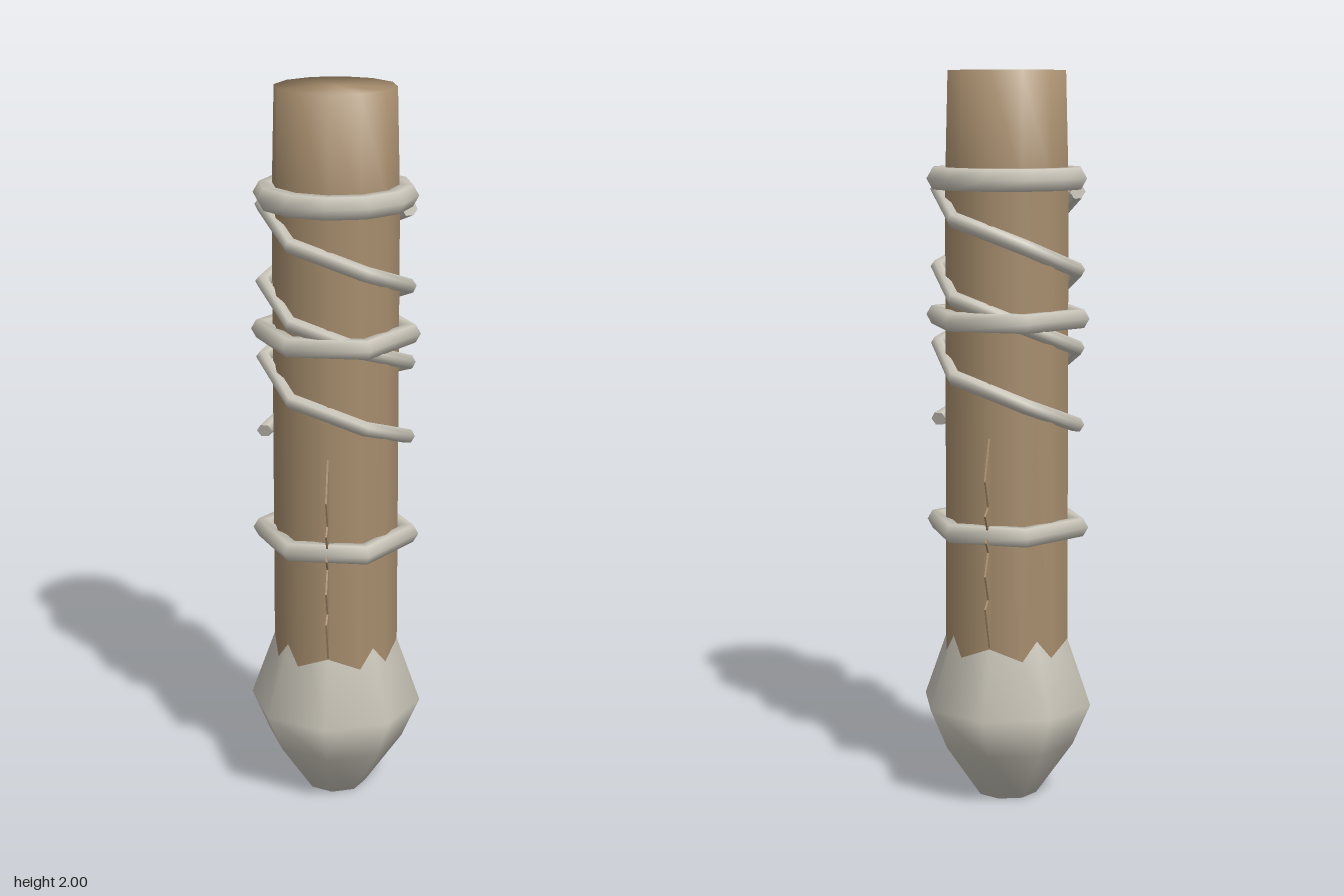
import * as THREE from 'three';

const wood = new THREE.MeshStandardMaterial({ color: 0xa68d6d });
wood.name = 'wood brown';
const bone = new THREE.MeshStandardMaterial({ color: 0xc8c4b8 });
bone.name = 'pale bone';

// Helical path: clockwise descent seen from above, three half turns
class Helix extends THREE.Curve {
  constructor(radius, bottom, pitch, turns, phase) {
    super();
    Object.assign(this, { radius, bottom, pitch, turns, phase });
  }
  getPoint(t, target = new THREE.Vector3()) {
    const a = this.phase + t * this.turns * Math.PI * 2;
    return target.set(
      this.radius * Math.cos(a),
      this.bottom + t * this.turns * this.pitch,
      this.radius * Math.sin(a)
    );
  }
}

function lathe(points, sides) {
  return new THREE.LatheGeometry(points.map(([r, y]) => new THREE.Vector2(r, y)), sides);
}

export function createModel() {
  const model = new THREE.Group();
  const add = (name, geometry, material) => {
    const mesh = new THREE.Mesh(geometry, material);
    mesh.name = name;
    model.add(mesh);
    return mesh;
  };

  // Twelve-sided shaft with a softly shaded flat top
  add('shaft', lathe([[0.174, 0.3], [0.171, 1.7], [0.163, 2], [0, 2]], 12), wood);

  // Eight-sided bulb at the foot; its upper part runs into the shaft
  add('bulb', lathe([[0, 0], [0.085, 0], [0.19, 0.15], [0.24, 0.265], [0.14, 0.545]], 8), bone);

  // Bands around the shaft: a round one at the top and two hexagonal ones
  const bands = [
    ['upperBand', 1.715, 0.188, 0.034, 12],
    ['middleBand', 1.34, 0.202, 0.029, 6],
    ['lowerBand', 0.767, 0.202, 0.029, 6],
  ];
  for (const [name, y, radius, tube, sides] of bands) {
    const ring = add(name, new THREE.TorusGeometry(radius, tube, 6, sides).rotateX(Math.PI / 2), bone);
    ring.position.y = y;
  }

  // Two cords wound in opposite phase, six straight runs per turn, with end caps
  for (const [name, phase] of [['cordA', 0], ['cordB', Math.PI]]) {
    const path = new Helix(0.197, 1.05, 0.42, 1.5, phase);
    add(name, new THREE.TubeGeometry(path, 9, 0.021, 6, false), bone);
    for (const t of [0, 1]) {
      const cap = add(name + 'End', new THREE.CircleGeometry(0.021, 6), bone);
      const out = path.getTangent(t).multiplyScalar(t ? 1 : -1);
      cap.position.copy(path.getPoint(t));
      cap.quaternion.setFromUnitVectors(new THREE.Vector3(0, 0, 1), out);
    }
  }

  // Thin serrated fins on the front and back
  const outline = [
    [0.14, 1.03], [0.172, 1.03], [0.215, 0.92], [0.185, 0.845], [0.215, 0.825],
    [0.19, 0.78], [0.205, 0.75], [0.185, 0.72], [0.215, 0.66], [0.185, 0.59],
    [0.215, 0.57], [0.172, 0.45], [0.14, 0.45],
  ];
  const fin = new THREE.ExtrudeGeometry(
    new THREE.Shape(outline.map(([r, y]) => new THREE.Vector2(r, y))),
    { depth: 0.005, bevelEnabled: false }
  ).translate(0, 0, -0.0025);
  add('frontFin', fin, wood).rotation.y = -Math.PI / 2;
  add('backFin', fin, wood).rotation.y = Math.PI / 2;

  return model;
}
